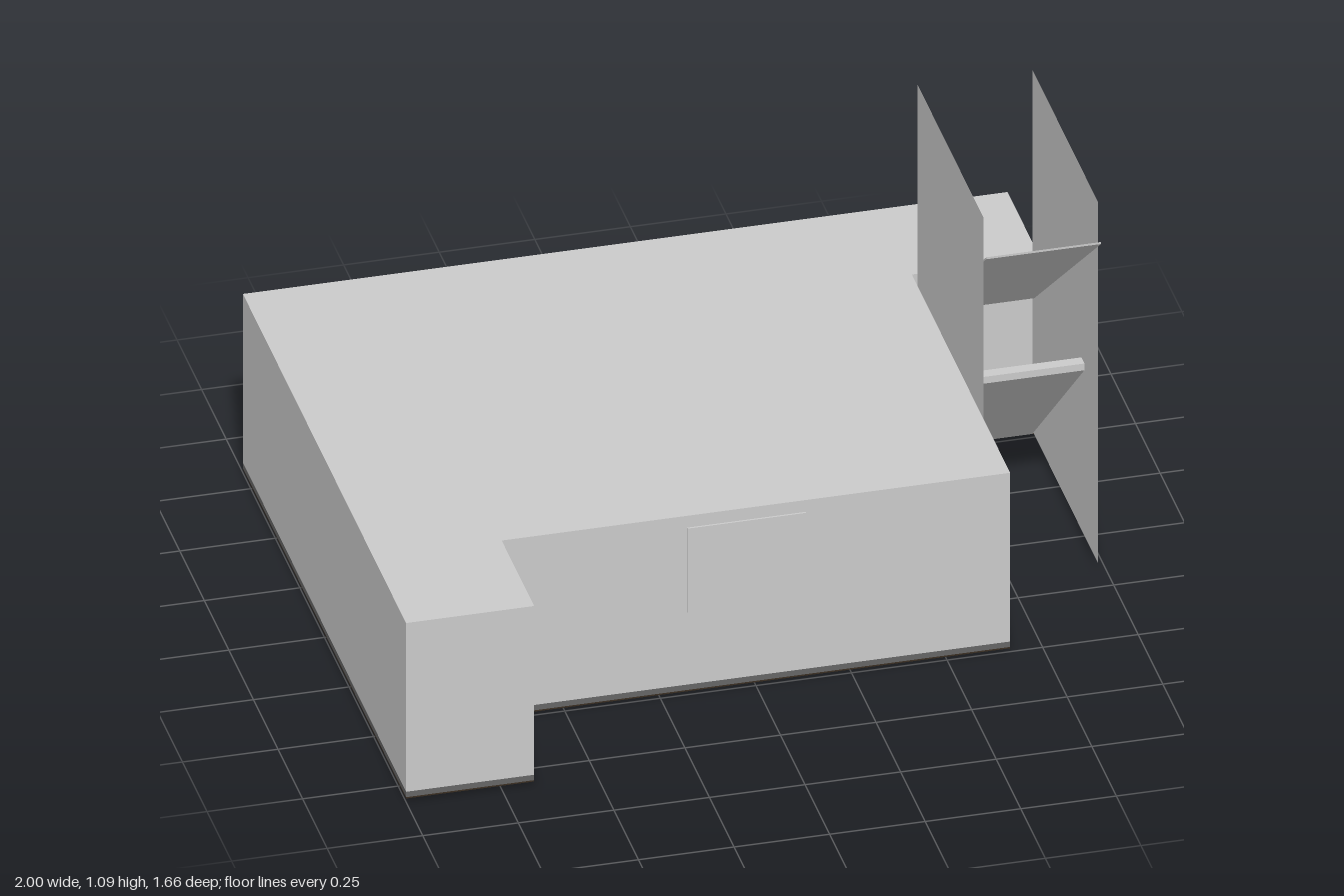
import * as THREE from 'three';

const paint = (color) => new THREE.MeshStandardMaterial({ color, flatShading: true });

export function createModel() {
  const model = new THREE.Group();
  const grey = paint(0xcccccc);
  const dark = paint(0x666666);
  const brown = paint(0x3a2e22);
  const black = paint(0x111111);
  const thin = paint(0xcccccc);
  thin.side = THREE.DoubleSide;

  function add(name, geometry, material, x = 0, y = 0, z = 0) {
    const mesh = new THREE.Mesh(geometry, material);
    mesh.name = name;
    mesh.position.set(x, y, z);
    model.add(mesh);
    return mesh;
  }
  const box = (name, w, h, d, material, x, y, z) =>
    add(name, new THREE.BoxGeometry(w, h, d), material, x, y, z);

  // Stepped footprint, as (x, z) corners
  const corners = [
    [-1, -0.83], [1, -0.83], [1, -0.5], [0.665, -0.5],
    [0.665, 0.5], [-0.665, 0.5], [-0.665, 0.83], [-1, 0.83],
  ];
  const footprint = new THREE.Shape(corners.map(([x, z]) => new THREE.Vector2(x, -z)));
  function storey(name, y0, y1, material) {
    const geometry = new THREE.ExtrudeGeometry(footprint, { depth: y1 - y0, bevelEnabled: false });
    geometry.rotateX(-Math.PI / 2);
    add(name, geometry, material, 0, y0, 0);
  }
  storey('building', 0.03, 0.53, grey);
  storey('baseSlab', 0.014, 0.03, dark);
  storey('undersideFloor', 0.01, 0.014, brown);

  // Thin panel on the front wall
  box('frontPanel', 0.31, 0.25, 0.005, grey, -0.025, 0.37, 0.5025);

  // Small fittings on the back wall
  box('backOutlet', 0.02, 0.04, 0.004, black, 0.25, 0.07, -0.831);
  for (const x of [0.28, 0.39]) box('backFixing', 0.008, 0.006, 0.004, black, x, 0.47, -0.831);

  // Stairwell: two thin side walls
  for (const x of [0.68, 0.98]) {
    const wall = add('stairSideWall', new THREE.PlaneGeometry(0.67, 1.07), thin, x, 0.555, -0.165);
    wall.rotation.y = Math.PI / 2;
  }

  // Extrudes a (z, y) profile across the width of the stairwell
  function acrossStairwell(name, points, material) {
    const shape = new THREE.Shape(points.map(([z, y]) => new THREE.Vector2(z, y)));
    const geometry = new THREE.ExtrudeGeometry(shape, { depth: 0.3, bevelEnabled: false });
    geometry.rotateY(-Math.PI / 2);
    add(name, geometry, material, 0.98, 0, 0);
  }
  // Sloping cover rising towards the front
  acrossStairwell('stairCover', [[0.2, 0.99], [-0.48, 0.43], [-0.48, 0.424], [0.2, 0.984]], grey);

  // Steps descending towards the back
  const count = 17;
  const run = 0.53 / count;
  const rise = 0.5 / count;
  const steps = [];
  for (let i = 0; i < count; i++) {
    const y = 0.53 - i * rise;
    steps.push([0.03 - i * run, y], [0.03 - (i + 1) * run, y]);
  }
  steps.push([-0.5, 0.01], [0.03, 0.51]);
  acrossStairwell('stairs', steps, grey);

  // Little feet scattered under the floor, as (x, z)
  const feet = [
    [0.08, -0.67], [0.09, -0.77], [-0.35, -0.67], [-0.33, -0.79], [0.12, 0.02],
    [0.07, -0.03], [-0.15, 0.02], [-0.18, -0.03], [-0.41, 0.24], [-0.58, 0.13],
    [-0.69, 0.26], [-0.31, 0.45], [0.27, 0.31], [0.61, 0.01],
  ];
  for (const [x, z] of feet) box('foot', 0.02, 0.01, 0.02, black, x, 0.005, z);

  return model;
}
